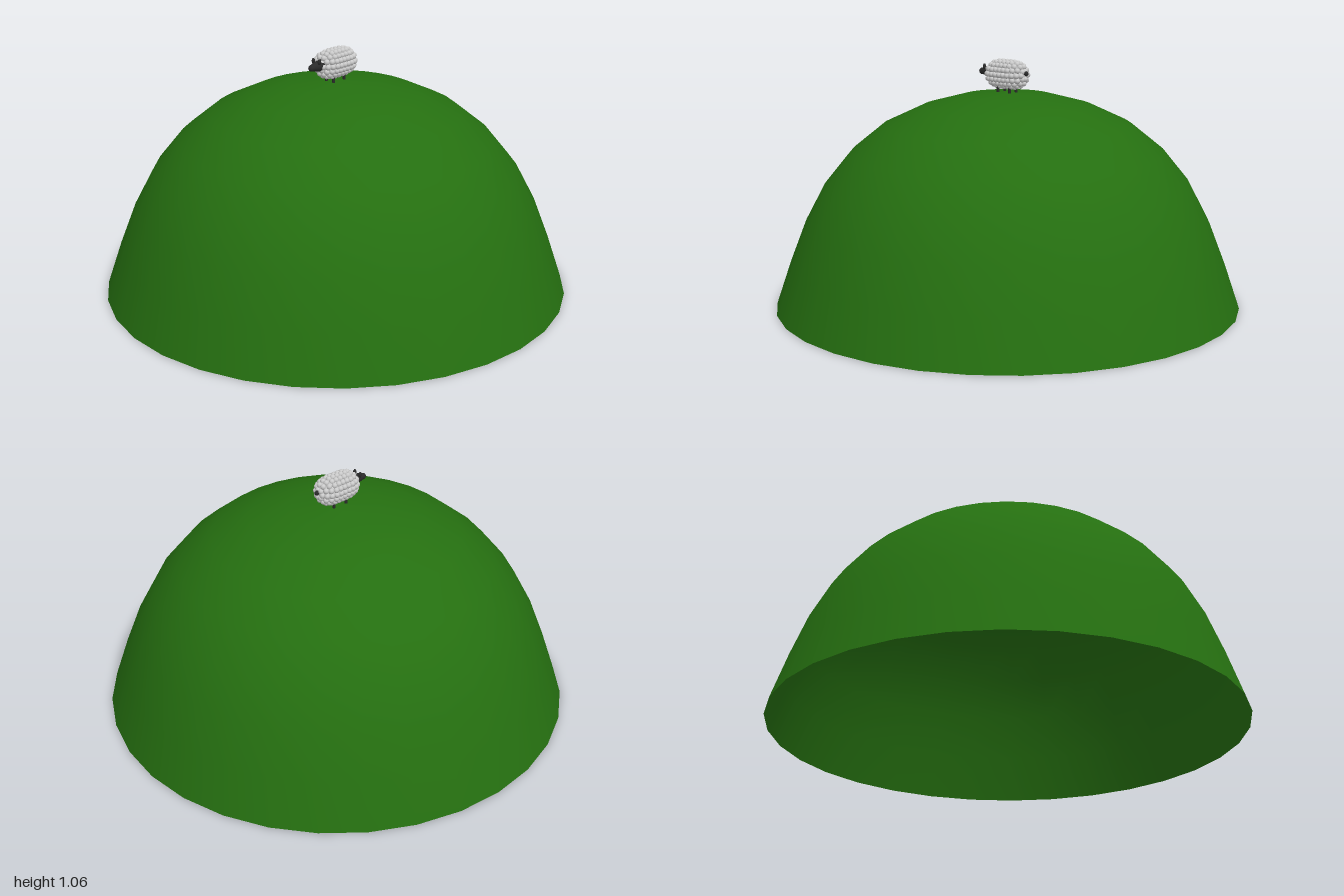
import * as THREE from 'three';

const material = (color, side = THREE.FrontSide) => new THREE.MeshStandardMaterial({ color, side });

function addMesh(parent, name, geometry, mat, x = 0, y = 0, z = 0) {
  const mesh = new THREE.Mesh(geometry, mat);
  mesh.name = name;
  mesh.position.set(x, y, z);
  parent.add(mesh);
  return mesh;
}

// Open, hollow grassy dome
function createHill() {
  const profile = [
    [1, 0], [0.935, 0.19], [0.865, 0.37], [0.78, 0.53], [0.67, 0.665],
    [0.53, 0.778], [0.365, 0.855], [0.19, 0.902], [0, 0.916],
  ].map(([x, y]) => new THREE.Vector2(x, y));
  const hill = new THREE.Mesh(new THREE.LatheGeometry(profile, 32), material(0x256f10, THREE.DoubleSide));
  hill.name = 'hill';
  return hill;
}

// Woolly body: a core covered by rings of small tufts
function createFleece(wool) {
  const fleece = new THREE.Group();
  fleece.name = 'fleece';
  const core = new THREE.CapsuleGeometry(0.054, 0.085, 6, 16);
  core.rotateX(Math.PI / 2);
  addMesh(fleece, 'fleeceCore', core, wool);

  const tuft = new THREE.SphereGeometry(0.0125, 8, 6);
  const rings = [ // z, radius, tufts around
    [0.092, 0.018, 6], [0.082, 0.036, 10], [0.065, 0.047, 14],
    [0.043, 0.052, 16], [0.0215, 0.053, 16], [0, 0.053, 16],
  ];
  const addRing = (z, radius, count) => {
    for (let i = 0; i < count; i++) {
      const a = (i / count) * Math.PI * 2;
      addMesh(fleece, 'woolTuft', tuft, wool, Math.cos(a) * radius, Math.sin(a) * radius, z);
    }
  };
  for (const [z, radius, count] of rings) {
    addRing(z, radius, count);
    if (z > 0) addRing(-z, radius, count);
  }
  return fleece;
}

function createSheep() {
  const sheep = new THREE.Group();
  sheep.name = 'sheep';
  const wool = material(0xcccccc);
  const dark = material(0x2b2b2b);

  const fleece = createFleece(wool);
  fleece.position.set(0, 0.99, 0.002);
  sheep.add(fleece);

  // Head tapering to the muzzle
  const headGeo = new THREE.CylinderGeometry(0.013, 0.027, 0.06, 12);
  headGeo.rotateX(Math.PI / 2);
  addMesh(sheep, 'head', headGeo, dark, 0, 0.994, 0.118);
  addMesh(sheep, 'muzzle', new THREE.SphereGeometry(0.014, 12, 8), dark, 0, 0.993, 0.146);

  const legGeo = new THREE.CylinderGeometry(0.007, 0.006, 0.05, 8);
  const earGeo = new THREE.SphereGeometry(0.009, 8, 6);
  for (const side of [-1, 1]) {
    const ear = addMesh(sheep, 'ear', earGeo, dark, side * 0.017, 1.016, 0.117);
    ear.scale.set(0.8, 1.4, 0.8);
    for (const z of [0.035, -0.03]) addMesh(sheep, 'leg', legGeo, dark, side * 0.021, 0.936, z);
  }

  const tail = addMesh(sheep, 'tail', new THREE.SphereGeometry(0.011, 8, 6), dark, 0, 1.0, -0.105);
  tail.scale.set(0.9, 1, 0.9);
  return sheep;
}

export function createModel() {
  const model = new THREE.Group();
  model.name = 'sheepOnHill';
  model.add(createHill(), createSheep());
  return model;
}
